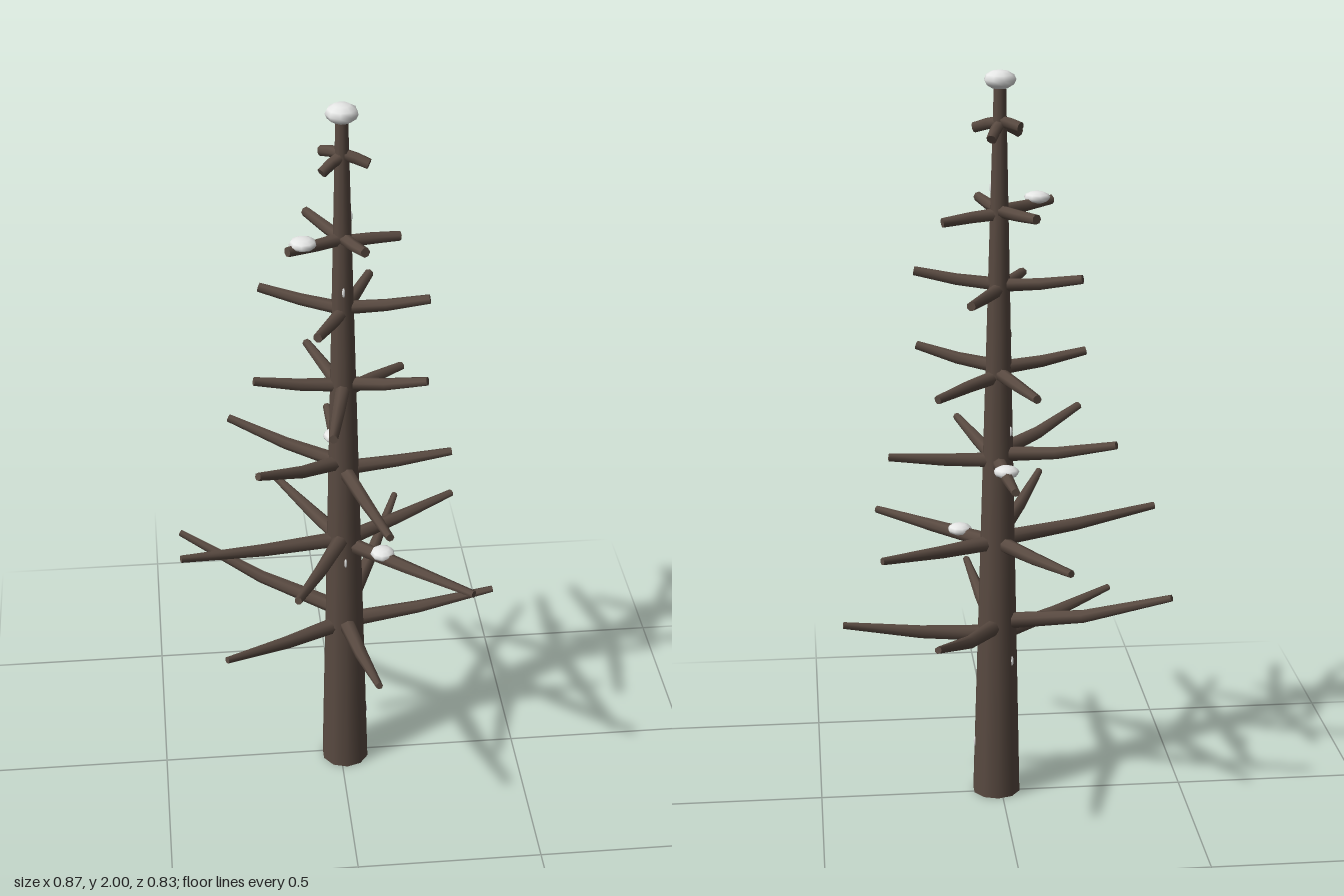
import * as THREE from 'three';

const V = (x, y, z) => new THREE.Vector3(x, y, z);

// Tapered, bent limb: one ring of points around each path point, closed at the tip
function limbGeometry(path, radii, sides = 7) {
  const pos = [], idx = [];
  const ring = (i) => {
    const dir = path[Math.min(i + 1, path.length - 1)].clone().sub(path[Math.max(i - 1, 0)]).normalize();
    const side = V(0, 1, 0).cross(dir).normalize();
    const up = dir.clone().cross(side);
    for (let s = 0; s < sides; s++) {
      const a = (s / sides) * Math.PI * 2;
      const p = path[i].clone()
        .addScaledVector(side, Math.cos(a) * radii[i])
        .addScaledVector(up, Math.sin(a) * radii[i]);
      pos.push(p.x, p.y, p.z);
    }
  };
  for (let i = 0; i < path.length; i++) ring(i);
  for (let i = 0; i < path.length - 1; i++) {
    for (let s = 0; s < sides; s++) {
      const a = i * sides + s, b = i * sides + ((s + 1) % sides);
      idx.push(a, b, b + sides, a, b + sides, a + sides);
    }
  }
  // flat cut end with its own vertices
  const cap = pos.length / 3;
  ring(path.length - 1);
  for (let s = 1; s < sides - 1; s++) idx.push(cap, cap + s, cap + s + 1);
  const g = new THREE.BufferGeometry();
  g.setAttribute('position', new THREE.Float32BufferAttribute(pos, 3));
  g.setIndex(idx);
  g.computeVertexNormals();
  return g;
}

// Each tier: its height on the trunk and the tip of every branch
const TIERS = [
  { y: 0.445, tips: [[-0.43, 0.64, -0.213], [-0.325, 0.51, 0.22], [0.43, 0.52, -0.025], [0.2, 0.6, -0.415], [0.063, 0.54, 0.41]] },
  { y: 0.725, tips: [[-0.435, 0.782, 0.128], [-0.145, 0.808, 0.385], [0.322, 0.737, 0.3], [0.328, 0.753, -0.17], [-0.152, 0.75, -0.302]] },
  { y: 0.955, tips: [[-0.287, 1.045, -0.147], [-0.23, 1.06, 0.182], [0.09, 0.98, 0.375], [-0.008, 0.975, -0.302], [0.3, 0.987, -0.012]] },
  { y: 1.205, tips: [[-0.227, 1.255, 0.03], [0.217, 1.265, 0.09], [0.178, 1.18, -0.147], [-0.047, 1.235, 0.305], [-0.067, 1.205, -0.255]] },
  { y: 1.43, tips: [[-0.203, 1.472, -0.075], [0.225, 1.477, 0.042], [-0.072, 1.442, 0.157], [0.095, 1.436, -0.197]] },
  { y: 1.635, tips: [[-0.14, 1.65, 0.09], [0.155, 1.618, -0.04], [-0.075, 1.645, -0.15], [0.05, 1.655, 0.122]] },
  { y: 1.875, tips: [[-0.05, 1.835, 0.04], [0.068, 1.85, 0.03], [0.03, 1.832, -0.055], [-0.045, 1.86, -0.04]] },
];

export function createModel() {
  const bark = new THREE.MeshStandardMaterial({ color: 0x594a41 });
  bark.name = 'bark';
  const snow = new THREE.MeshStandardMaterial({ color: 0xe8e9e8 });
  snow.name = 'snow';

  const model = new THREE.Group();
  model.name = 'bareTree';
  const add = (name, geometry, material, parent = model) => {
    const mesh = new THREE.Mesh(geometry, material);
    mesh.name = name;
    parent.add(mesh);
    return mesh;
  };

  // Trunk, leaning very slightly from its foot to its top
  const height = 1.965;
  const lean = (y) => 0.003 + 0.01 * (1 - y / height);
  const trunkGeo = new THREE.CylinderGeometry(0.016, 0.066, height, 10, 6);
  trunkGeo.translate(0, height / 2, 0);
  const p = trunkGeo.attributes.position;
  for (let i = 0; i < p.count; i++) {
    const o = lean(p.getY(i));
    p.setXYZ(i, p.getX(i) + o, p.getY(i), p.getZ(i) + o);
  }
  add('trunk', trunkGeo, bark);

  // Branch tiers: thinner and blunter towards the top, each branch sagging at its middle
  TIERS.forEach(({ y, tips }, t) => {
    const tier = new THREE.Group();
    tier.name = `branchTier${t + 1}`;
    model.add(tier);
    const thick = 0.026 - 0.0055 * y, thin = 0.008 + 0.003 * y;
    const radii = [thick, thick * 0.6 + thin * 0.4, thin];
    for (const tip of tips) {
      const end = V(...tip);
      const baseY = y + 0.3 * (end.y - y);
      const base = V(lean(baseY), baseY, lean(baseY));
      const bend = base.clone().lerp(end, 0.5);
      bend.y = baseY + 0.36 * (end.y - baseY);
      add('branch', limbGeometry([base, bend, end], radii), bark, tier);
    }
  });

  // Snow clumps: x, y, z, radius, half height
  const ball = new THREE.SphereGeometry(1, 9, 6);
  const clump = (name, x, y, z, r, h) => {
    const mesh = add(name, ball, snow);
    mesh.position.set(x, y, z);
    mesh.scale.set(r, h, r);
  };
  clump('snowCap', 0.003, 1.975, 0.004, 0.042, 0.025);
  clump('branchSnow', -0.10, 1.66, 0.068, 0.035, 0.016);
  clump('branchSnow', 0.105, 0.743, 0.095, 0.033, 0.016);
  clump('branchSnow', 0, 0.978, -0.138, 0.034, 0.016);

  // Small flecks of frost on the trunk: height and angle around it
  for (const [y, a] of [[1.5, 0], [0.69, 0], [1.7, 1.57], [0.15, 1.7], [0.4, 3.9], [1.05, 4.1]]) {
    const r = 0.065 - 0.0254 * y;
    clump('frostFleck', lean(y) + Math.sin(a) * r, y, lean(y) + Math.cos(a) * r, 0.004, 0.014);
  }
  return model;
}
